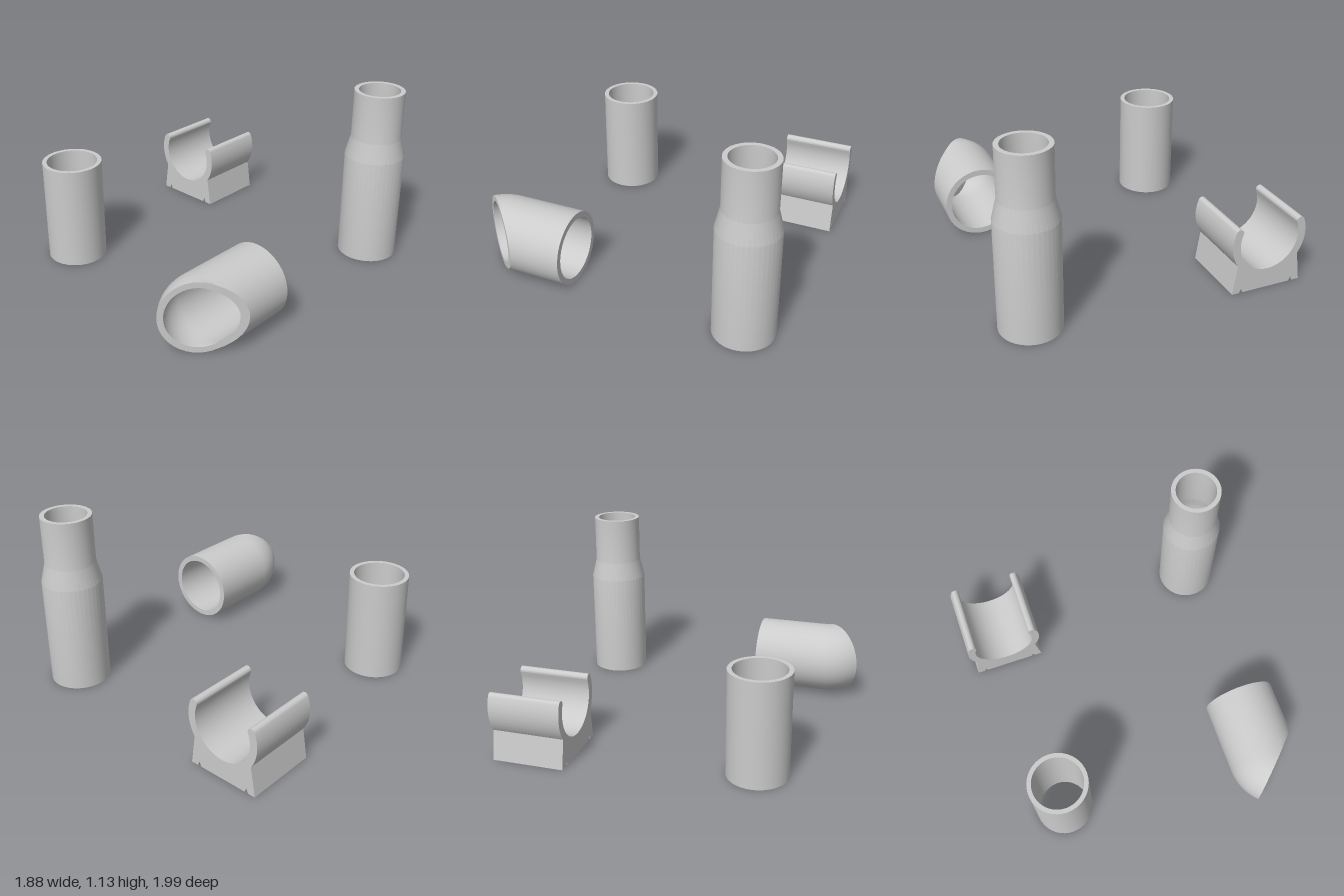
import * as THREE from 'three';
import { toCreasedNormals } from 'three/addons/utils/BufferGeometryUtils.js';

const material = new THREE.MeshStandardMaterial({ color: 0xcccccc });
const SIDES = 40;

function addPart(group, name, geometry, x, y, z) {
  const mesh = new THREE.Mesh(toCreasedNormals(geometry, 0.25), material);
  mesh.name = name;
  mesh.position.set(x, y, z);
  group.add(mesh);
}

// Hollow turned part: outer wall going up, inner wall coming down, closed
function turned(points) {
  const profile = [...points, points[0]].map(([r, y]) => new THREE.Vector2(r, y));
  return new THREE.LatheGeometry(profile, SIDES);
}

// Open pipe clip on a tapered foot
function clipGeometry() {
  const cy = 0.33, inner = 0.2, outer = 0.25, mid = 0.225, tip = 0.38, foot = 0.595;
  const tx = mid * Math.cos(tip), ty = cy + mid * Math.sin(tip);
  const s = new THREE.Shape();
  s.moveTo(-0.235, 0);
  for (const x of [-0.175, 0.175]) { // small grooves under the foot
    s.lineTo(x - 0.012, 0);
    s.lineTo(x, 0.03);
    s.lineTo(x + 0.012, 0);
  }
  s.lineTo(0.235, 0);
  s.absarc(0, cy, outer, -foot, tip, false);
  s.absarc(tx, ty, 0.025, tip, tip + Math.PI, false);
  s.absarc(0, cy, inner, tip, Math.PI - tip, true);
  s.absarc(-tx, ty, 0.025, -tip, Math.PI - tip, false);
  s.absarc(0, cy, outer, Math.PI - tip, Math.PI + foot, false);
  s.closePath();
  return new THREE.ExtrudeGeometry(s, { depth: 0.455, bevelEnabled: false, curveSegments: 16 });
}

// Half of a tight elbow: a straight pipe bent 45 degrees about a vertical axis
// inside it, and cut along the mitre plane through that axis
function elbowGeometry() {
  const back = 0.3, cx = 0.705, cy = 0.235, axisX = 0.81, axisZ = 0.755, bend = 10;
  const point = (radius, a, j) => {
    const x = cx + radius * Math.cos(a), y = cy + radius * Math.sin(a);
    if (j === 0) return [x, y, back];
    const t = (j - 1) / bend, r = axisX - x;
    if (r <= 0) {
      return [x, y, THREE.MathUtils.lerp(back, axisZ + r, 0.8 + 0.2 * t)];
    }
    const angle = t * Math.PI / 4;
    return [axisX - r * Math.cos(angle), y, axisZ + r * Math.sin(angle)];
  };
  // Loop of rings: outside to the cut, inside back again, closed
  const rings = [];
  for (let j = 0; j <= bend + 1; j++) rings.push([0.232, j]);
  for (let j = bend + 1; j >= 0; j--) rings.push([0.195, j]);
  const n = rings.length, positions = [], index = [];
  for (const [radius, j] of rings) {
    for (let i = 0; i < SIDES; i++) positions.push(...point(radius, i / SIDES * Math.PI * 2, j));
  }
  for (let k = 0; k < n; k++) {
    for (let i = 0; i < SIDES; i++) {
      const i2 = (i + 1) % SIDES, k2 = (k + 1) % n;
      const a = k * SIDES + i, b = k * SIDES + i2, c = k2 * SIDES + i2, d = k2 * SIDES + i;
      index.push(a, b, c, a, c, d);
    }
  }
  const g = new THREE.BufferGeometry();
  g.setAttribute('position', new THREE.Float32BufferAttribute(positions, 3));
  g.setIndex(index);
  return g;
}

export function createModel() {
  const group = new THREE.Group();
  group.name = 'pipeFittings';

  addPart(group, 'straightSleeve',
    turned([[0.19, 0], [0.19, 0.67], [0.162, 0.67], [0.162, 0]]), -0.64, 0, 0.57);

  addPart(group, 'reducer', turned([
    [0.19, 0], [0.19, 0.7], [0.159, 0.825], [0.159, 1.135],
    [0.13, 1.135], [0.13, 0.825], [0.16, 0.7], [0.16, 0],
  ]), 0.747, 0, -0.81);

  addPart(group, 'pipeClip', clipGeometry(), -0.695, 0, -1);

  addPart(group, 'mitredElbow', elbowGeometry(), 0, 0, 0);

  return group;
}
